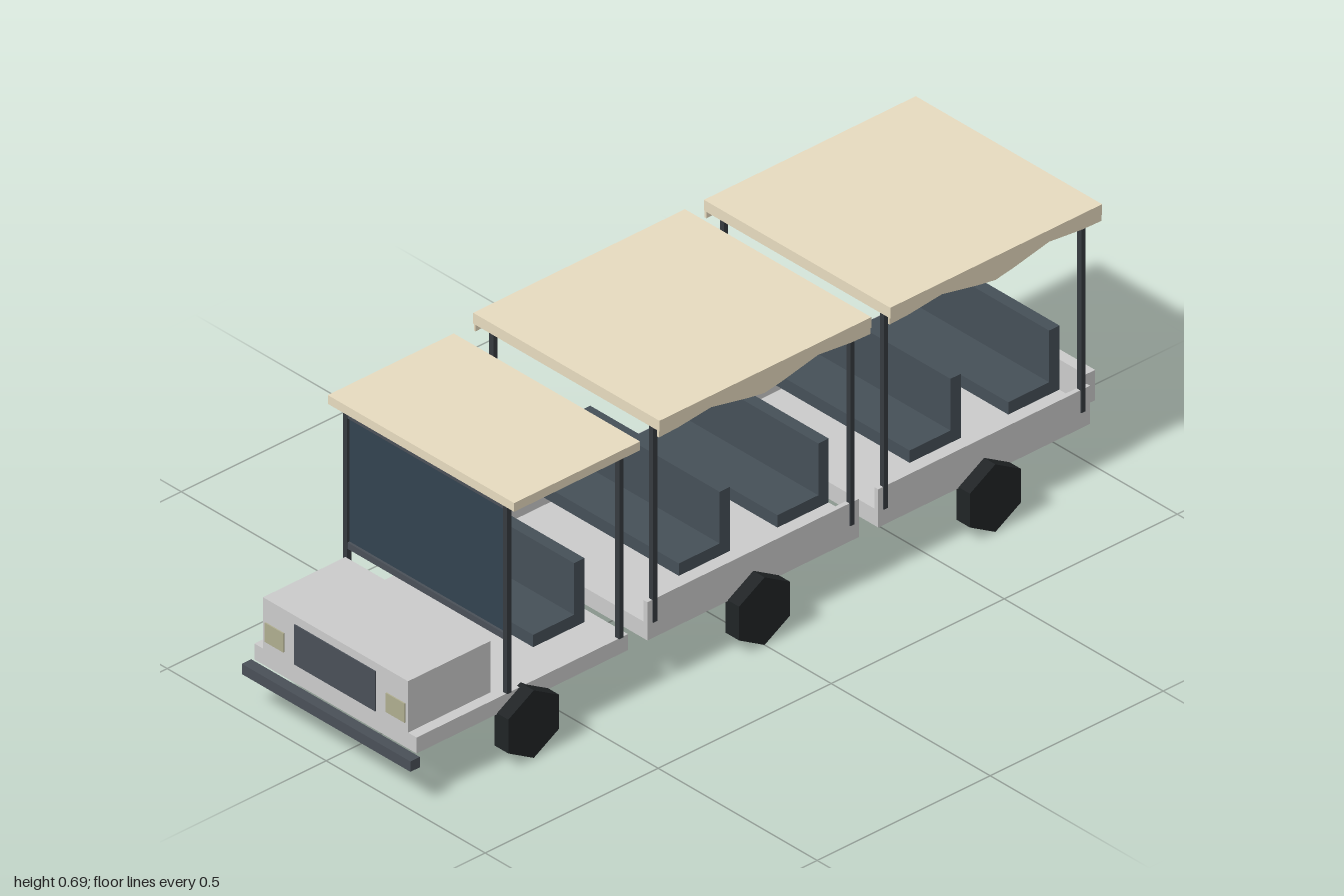
import * as THREE from 'three';

const mat = (color, extra = {}) => new THREE.MeshStandardMaterial({ color, flatShading: true, ...extra });
const grey = mat(0xcccccc);
const canvas = mat(0xe8dcc0, { side: THREE.DoubleSide });
const dark = mat(0x4a5058);
const postMat = mat(0x363b40);
const seatMat = mat(0x465058);
const glass = mat(0x334350);
const rubber = mat(0x202426);
const lampMat = mat(0xb0ae90);
const redMat = mat(0x7a2a34);

export function createModel() {
  const root = new THREE.Group();
  root.name = 'tourTrain';

  // Box given by its limits on each axis
  function box(parent, name, material, [x0, x1], [y0, y1], [z0, z1]) {
    const mesh = new THREE.Mesh(new THREE.BoxGeometry(x1 - x0, y1 - y0, z1 - z0), material);
    mesh.position.set((x0 + x1) / 2, (y0 + y1) / 2, (z0 + z1) / 2);
    mesh.name = name;
    parent.add(mesh);
    return mesh;
  }
  // The same box on both sides
  function pair(parent, name, material, [x0, x1], y, z) {
    box(parent, name + 'Left', material, [x0, x1], y, z);
    box(parent, name + 'Right', material, [-x1, -x0], y, z);
  }
  function wheels(parent, z) {
    for (const s of [-1, 1]) {
      const wheel = new THREE.Mesh(new THREE.CylinderGeometry(0.085, 0.085, 0.043, 6), rubber);
      wheel.rotation.set(0, 0, Math.PI / 2);
      wheel.position.set(s * 0.269, 0.085, z);
      wheel.name = s > 0 ? 'wheelLeft' : 'wheelRight';
      // Turn the hexagon so that a corner points up
      wheel.geometry.rotateY(Math.PI / 2);
      parent.add(wheel);
    }
  }
  function posts(parent, z, top) {
    pair(parent, 'roofPost', postMat, [0.245, 0.258], [0.165, top], [z - 0.006, z + 0.006]);
  }
  // Bench seat, z is the rear face of the backrest
  function seat(parent, z) {
    const g = new THREE.Group();
    g.name = 'benchSeat';
    box(g, 'seatCushion', seatMat, [-0.22, 0.22], [0.219, 0.25], [z + 0.03, z + 0.148]);
    box(g, 'seatBack', seatMat, [-0.22, 0.22], [0.219, 0.38], [z, z + 0.03]);
    parent.add(g);
  }

  // Tractor unit
  const engine = new THREE.Group();
  engine.name = 'tractorUnit';
  root.add(engine);
  box(engine, 'chassis', grey, [-0.255, 0.255], [0.125, 0.165], [0.362, 0.973]);
  box(engine, 'hood', grey, [-0.228, 0.228], [0.165, 0.294], [0.735, 0.973]);
  box(engine, 'grille', dark, [-0.128, 0.128], [0.173, 0.273], [0.97, 0.976]);
  pair(engine, 'headlight', lampMat, [0.161, 0.22], [0.187, 0.235], [0.97, 0.976]);
  box(engine, 'bumper', dark, [-0.265, 0.265], [0.095, 0.121], [0.973, 1]);
  box(engine, 'windshield', glass, [-0.247, 0.247], [0.305, 0.635], [0.7, 0.707]);
  box(engine, 'windshieldLowerRail', dark, [-0.252, 0.252], [0.297, 0.313], [0.698, 0.713]);
  box(engine, 'windshieldUpperRail', dark, [-0.252, 0.252], [0.625, 0.645], [0.698, 0.713]);
  box(engine, 'roof', canvas, [-0.293, 0.293], [0.645, 0.667], [0.362, 0.726]);
  posts(engine, 0.708, 0.646);
  posts(engine, 0.384, 0.646);
  seat(engine, 0.456);
  wheels(engine, 0.667);

  // Scalloped cloth edge hanging along the side of a carriage roof
  const valanceShape = new THREE.Shape([
    [-0.306, 0.675], [-0.306, 0.652], [-0.25, 0.654], [-0.155, 0.664], [-0.05, 0.642], [0, 0.634],
    [0.05, 0.642], [0.155, 0.664], [0.25, 0.654], [0.306, 0.652], [0.306, 0.675],
  ].map(([z, y]) => new THREE.Vector2(z, y)));
  const valanceGeo = new THREE.ExtrudeGeometry(valanceShape, { depth: 0.006, bevelEnabled: false });
  valanceGeo.rotateY(-Math.PI / 2).translate(0.003, 0, 0);

  // Two open carriages
  for (const z of [0, -0.667]) {
    const car = new THREE.Group();
    car.name = 'carriage';
    car.position.z = z;
    root.add(car);
    const span = [-0.306, 0.306];
    box(car, 'chassis', grey, [-0.255, 0.255], [0.125, 0.167], span);
    pair(car, 'sideWall', grey, [0.243, 0.255], [0.167, 0.221], span);
    box(car, 'roof', canvas, [-0.293, 0.293], [0.668, 0.695], span);
    for (const s of [-1, 1]) {
      const valance = new THREE.Mesh(valanceGeo, canvas);
      valance.position.x = s * 0.288;
      valance.name = s > 0 ? 'valanceLeft' : 'valanceRight';
      car.add(valance);
    }
    posts(car, 0.286, 0.67);
    posts(car, -0.284, 0.67);
    seat(car, 0.035);
    seat(car, -0.25);
    wheels(car, 0);

    // Coupling to the vehicle in front
    box(car, 'couplingBar', dark, [-0.02, 0.02], [0.127, 0.14], [0.297, 0.372]);
    box(car, 'couplingPlate', dark, [-0.02, 0.02], [0.12, 0.13], [0.302, 0.366]);
  }

  // Tail panel with lights
  box(root, 'tailPanel', grey, [-0.244, 0.244], [0.169, 0.245], [-0.998, -0.97]);
  pair(root, 'tailLight', redMat, [0.172, 0.222], [0.187, 0.227], [-1, -0.994]);

  return root;
}
